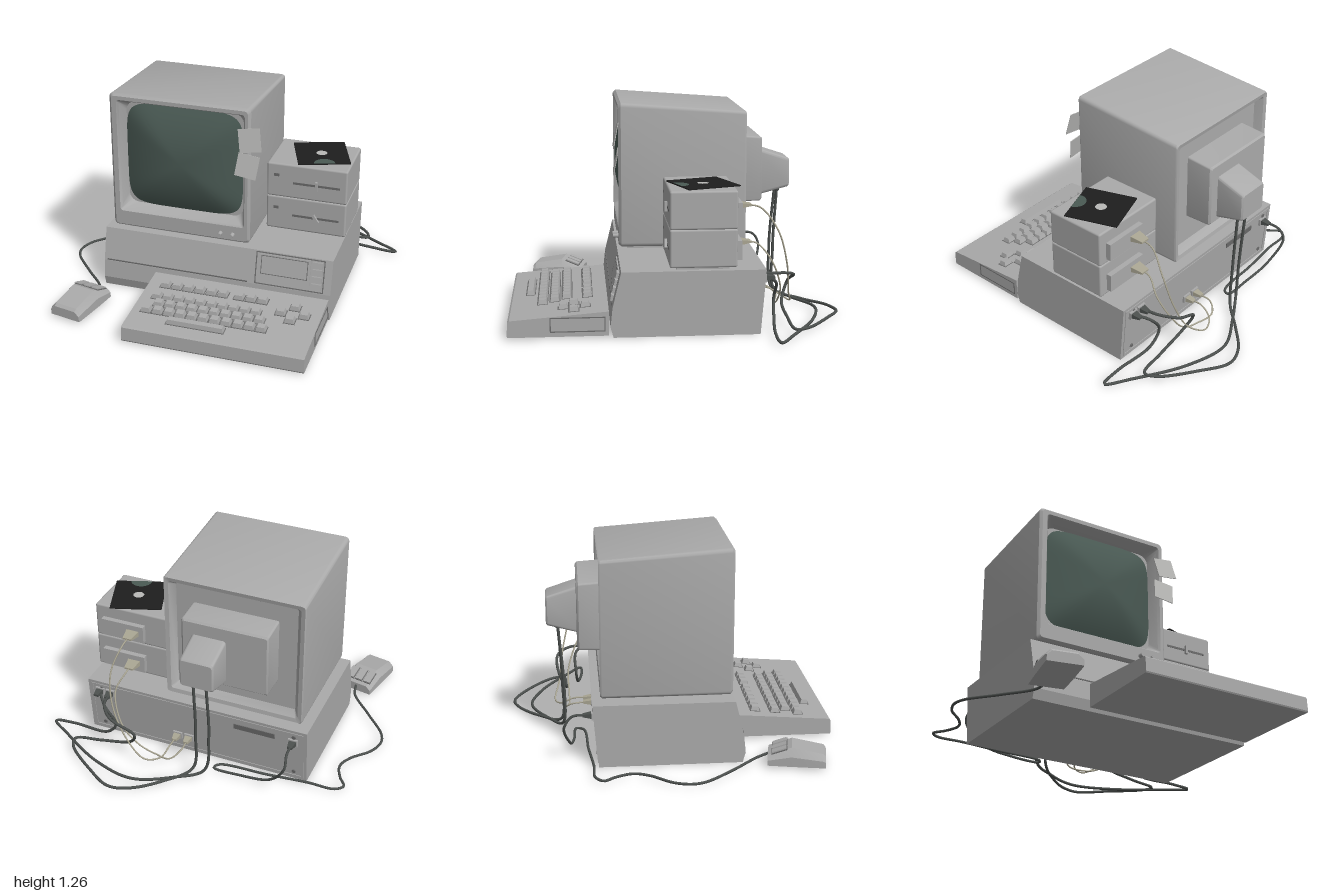
import * as THREE from 'three';
import { toCreasedNormals } from 'three/addons/utils/BufferGeometryUtils.js';
import { RoundedBoxGeometry } from 'three/addons/geometries/RoundedBoxGeometry.js';

const mat = (name, color, side = THREE.FrontSide) => {
  const m = new THREE.MeshStandardMaterial({ color, side });
  m.name = name;
  return m;
};

export function createModel() {
  const casing = mat('casing grey', 0xaaaaaa);
  const groove = mat('groove grey', 0x6c6c6c);
  const glass = mat('screen green', 0x4a5a54);
  const rubber = mat('cable grey', 0x4c504e);
  const ivory = mat('ivory cable', 0xa9a592);
  const black = mat('disk black', 0x1e1e1e);
  const paper = mat('note paper', 0xb9b9b7);
  const model = new THREE.Group();
  model.name = 'desktopComputer';

  const add = (parent, name, geo, m, x = 0, y = 0, z = 0) => {
    const mesh = new THREE.Mesh(geo, m);
    mesh.name = name;
    mesh.position.set(x, y, z);
    parent.add(mesh);
    return mesh;
  };
  const group = (name, x = 0, y = 0, z = 0, parent = model) => {
    const g = new THREE.Group();
    g.name = name;
    g.position.set(x, y, z);
    parent.add(g);
    return g;
  };
  const box = (w, h, d) => new THREE.BoxGeometry(w, h, d);
  // Rounded rectangle ring, counter-clockwise seen from +z
  const ring = (x0, x1, y0, y1, r, z) => {
    const pts = [];
    [[x1 - r, y1 - r], [x0 + r, y1 - r], [x0 + r, y0 + r], [x1 - r, y0 + r]].forEach(([cx, cy], q) => {
      for (let i = 0; i <= 4; i++) {
        const a = (q + i / 4) * Math.PI / 2;
        pts.push([cx + r * Math.cos(a), cy + r * Math.sin(a), z]);
      }
    });
    return pts;
  };
  // Skin a list of rings, with a fan cap on each end
  const loft = (rings) => {
    const v = [], n = rings[0].length;
    const mid = (r) => [0, 1, 2].map((k) => r.reduce((s, p) => s + p[k], 0) / n);
    const first = rings[0], last = rings[rings.length - 1];
    for (let i = 0; i < n; i++) {
      const j = (i + 1) % n;
      v.push(...first[j], ...first[i], ...mid(first), ...last[i], ...last[j], ...mid(last));
      for (let k = 0; k + 1 < rings.length; k++) {
        const a = rings[k], b = rings[k + 1];
        v.push(...a[i], ...a[j], ...b[j], ...a[i], ...b[j], ...b[i]);
      }
    }
    const g = new THREE.BufferGeometry();
    g.setAttribute('position', new THREE.Float32BufferAttribute(v, 3));
    return toCreasedNormals(g, 0.5);
  };
  // Side profile given as (z, y) points, stretched from x0 to x1
  const prism = (pts, x0, x1) => {
    const s = new THREE.Shape(pts.map((p) => new THREE.Vector2(...p)));
    return new THREE.ExtrudeGeometry(s, { depth: x1 - x0, bevelEnabled: false })
      .rotateY(-Math.PI / 2).translate(x1, 0, 0);
  };
  // Box whose top is drawn in
  const taper = (w, h, d, inset) => {
    const g = box(w, h, d), p = g.attributes.position;
    for (let i = 0; i < p.count; i++) if (p.getY(i) > 0) {
      p.setX(i, p.getX(i) - Math.sign(p.getX(i)) * inset);
      p.setZ(i, p.getZ(i) - Math.sign(p.getZ(i)) * inset);
    }
    g.computeVertexNormals();
    return g;
  };
  // Thin rectangular outline facing +z
  const frame = (w, h, t) => {
    const rect = (C, a, b) => new C([[-a, -b], [a, -b], [a, b], [-a, b]].map((p) => new THREE.Vector2(...p)));
    const s = rect(THREE.Shape, w / 2, h / 2);
    s.holes.push(rect(THREE.Path, w / 2 - t, h / 2 - t));
    return new THREE.ExtrudeGeometry(s, { depth: 0.004, bevelEnabled: false });
  };
  const cable = (name, m, r, pts) => {
    const c = new THREE.CatmullRomCurve3(pts.map((p) => new THREE.Vector3(...p)));
    add(model, name, new THREE.TubeGeometry(c, 160, r, 7), m);
  };

  // System case
  add(model, 'case', prism([[0.38, 0], [0.397, 0.06], [0.385, 0.17], [0.335, 0.375], [-0.48, 0.375], [-0.45, 0]], -0.68, 0.75), casing);
  add(model, 'frontGroove', box(0.9, 0.007, 0.006), groove, -0.21, 0.178, 0.384);
  const slope = group('caseFrontPanel', 0, 0.272, 0.36);
  slope.rotation.x = -0.24;
  add(slope, 'panelFrame', frame(0.42, 0.2, 0.006), groove, 0.495, 0, 0);
  add(slope, 'panelDoor', box(0.31, 0.165, 0.012), casing, 0.465, 0.008, 0.004);
  add(slope, 'doorOutline', frame(0.285, 0.115, 0.004), groove, 0.462, 0.025, 0.008);
  for (let i = 0; i < 4; i++) add(slope, 'panelButton', box(0.06, 0.034, 0.026), casing, 0.663, 0.07 - i * 0.044, 0.006);
  const rear = group('caseRearPanel', 0, 0.1875, -0.465);
  rear.rotation.set(-0.08, Math.PI, 0);
  add(rear, 'rearFrame', frame(1.39, 0.34, 0.012), casing, -0.035, 0, 0);
  add(rear, 'rearSlot', box(0.26, 0.035, 0.006), groove, 0.35, 0.11, 0.002);
  for (const x of [-0.66, 0.6]) for (const y of [-0.13, 0.14])
    add(rear, 'screw', new THREE.CylinderGeometry(0.012, 0.012, 0.008, 10).rotateX(Math.PI / 2), groove, x, y, 0.003);

  // Monitor shell, from rear recess round to front surround
  const monitor = group('monitor');
  add(monitor, 'monitorShell', loft([
    ring(-0.57, 0.175, 0.46, 1.145, 0.01, -0.385),
    ring(-0.6, 0.205, 0.43, 1.175, 0.015, -0.43),
    ring(-0.625, 0.23, 0.405, 1.2, 0.02, -0.435),
    ring(-0.63, 0.235, 0.397, 1.205, 0.02, -0.425),
    ring(-0.63, 0.235, 0.397, 1.259, 0.025, 0.31),
    ring(-0.615, 0.22, 0.41, 1.245, 0.02, 0.326),
    ring(-0.585, 0.202, 0.5, 1.222, 0.02, 0.326),
    ring(-0.575, 0.192, 0.51, 1.212, 0.02, 0.31),
    ring(-0.555, 0.172, 0.53, 1.19, 0.06, 0.24),
  ]), casing);
  add(monitor, 'rearHousing', loft([
    ring(-0.45, 0.06, 0.645, 1.02, 0.012, -0.556),
    ring(-0.458, 0.072, 0.635, 1.03, 0.012, -0.545),
    ring(-0.458, 0.072, 0.63, 1.042, 0.012, -0.38),
  ]), casing);
  add(monitor, 'tubeNeckCover', loft([
    ring(-0.195, -0.005, 0.715, 0.88, 0.015, -0.737),
    ring(-0.203, 0.003, 0.707, 0.888, 0.018, -0.727),
    ring(-0.205, 0.005, 0.66, 0.945, 0.018, -0.55),
  ]), casing);
  add(monitor, 'monitorFoot', box(0.72, 0.04, 0.55), casing, -0.197, 0.385, 0.0);
  // Domed glass
  const dome = [];
  for (let k = 10; k >= 1; k--) {
    const t = k / 10, r = [];
    for (let i = 0; i < 64; i++) {
      const a = i / 64 * Math.PI * 2, c = Math.cos(a), s = Math.sin(a), e = 2 / 6;
      r.push([-0.192 + 0.362 * t * Math.sign(c) * Math.abs(c) ** e,
        0.86 + 0.33 * t * Math.sign(s) * Math.abs(s) ** e, 0.246 + 0.088 * (1 - t * t)]);
    }
    dome.push(r);
  }
  add(monitor, 'screen', loft(dome), glass);
  for (const x of [0.055, 0.13])
    add(monitor, 'knob', new THREE.CylinderGeometry(0.012, 0.014, 0.035, 14).rotateX(Math.PI / 2), casing, x, 0.447, 0.34);
  [[0.236, 1.077, 0.15], [0.222, 0.914, -0.13]].forEach(([x, y, r]) =>
    add(monitor, 'stickyNote', box(0.13, 0.138, 0.004), paper, x, y, 0.342).rotation.set(-0.2, 0, r));

  // Stacked disk drives
  const drives = group('diskDrives');
  [[0.718, 0.3], [0.502, -0.3]].forEach(([y, turn]) => {
    add(drives, 'driveBox', new RoundedBoxGeometry(0.492, 0.218, 0.38, 2, 0.012), casing, 0.511, y, -0.125);
    add(drives, 'driveSlot', box(0.285, 0.014, 0.004), groove, 0.57, y - 0.008, 0.065);
    add(drives, 'driveLatch', box(0.016, 0.055, 0.022), casing, 0.572, y - 0.008, 0.07).rotation.z = y < 0.6 ? 0.6 : 0;
    add(drives, 'driveLight', box(0.032, 0.018, 0.006), groove, 0.325, y + 0.035, 0.065);
    add(drives, 'driveConnector', box(0.28, 0.11, 0.035), casing, 0.565, y - 0.025, -0.33);
    add(drives, 'drivePlug', taper(0.08, 0.08, 0.035, 0.012).rotateX(-Math.PI / 2), ivory, 0.495, y - 0.02, -0.385);
  });
  add(drives, 'driveFoot', box(0.4, 0.03, 0.3), casing, 0.511, 0.385, -0.125);

  // Loose floppy disk on top of the drives
  const disk = group('floppyDisk', 0.55, 0.832, -0.14);
  disk.rotation.y = 0.34;
  const sleeve = new THREE.Shape([[-0.157, -0.16], [0.157, -0.16], [0.157, 0.16], [-0.157, 0.16]].map((p) => new THREE.Vector2(...p)));
  sleeve.holes.push(new THREE.Path().absarc(0, 0, 0.034, 0, Math.PI * 2, true));
  add(disk, 'diskSleeve', new THREE.ExtrudeGeometry(sleeve, { depth: 0.006, bevelEnabled: false }).rotateX(-Math.PI / 2), black);
  add(disk, 'diskHub', new THREE.CylinderGeometry(0.034, 0.034, 0.005, 24), paper, 0, 0.0025, 0);
  add(disk, 'diskMedia', new THREE.CircleGeometry(0.064, 20, 0, Math.PI).rotateX(-Math.PI / 2), glass, 0, 0.008, 0.158);

  // Keyboard
  const keyboard = group('keyboard');
  add(keyboard, 'keyboardBody', prism([[0.405, 0.012], [0.97, 0.012], [0.974, 0.02], [0.97, 0.1], [0.96, 0.108], [0.405, 0.152]], -0.335, 0.745), casing);
  const sideFrame = add(keyboard, 'sideFrame', frame(0.31, 0.085, 0.006), groove, 0.744, 0.08, 0.58);
  sideFrame.rotation.set(0, Math.PI / 2, 0);
  const key = (x, z, w = 0.06, d = 0.056) => {
    const k = add(keyboard, 'key', taper(w, 0.03, d, 0.008), casing, x, 0.164 - 0.08 * (z - 0.405), z);
    k.rotation.x = 0.08;
    add(keyboard, 'keyGap', box(w + 0.008, 0.006, d + 0.008), groove, x, 0.151 - 0.08 * (z - 0.405), z).rotation.x = 0.08;
  };
  [[-0.225, 0.52, 6, 0.072], [0.235, 0.52, 3, 0.072], [-0.237, 0.64, 10, 0.0675], [-0.2, 0.71, 10, 0.068], [-0.25, 0.78, 11, 0.0695]]
    .forEach(([x, z, n, step]) => { for (let i = 0; i < n; i++) key(x + i * step, z); });
  [[0.58, 0.535], [0.51, 0.6], [0.65, 0.6], [0.58, 0.66]].forEach(([x, z]) => key(x, z));
  key(0.075, 0.855, 0.345, 0.05);

  // Mouse
  const mouse = group('mouse', -0.71, 0.015, 0.69);
  mouse.rotation.y = -0.2;
  const section = (z, w, h) => [[w, 0, z], [w, h * 0.55, z], [w - 0.03, h, z], [0.03 - w, h, z], [-w, h * 0.55, z], [-w, 0, z]];
  add(mouse, 'mouseBody', loft([section(-0.166, 0.1, 0.055), section(-0.03, 0.103, 0.107), section(0.15, 0.103, 0.075), section(0.166, 0.1, 0.06)]), casing);
  for (const x of [-0.06, 0, 0.06]) {
    add(mouse, 'buttonGap', box(0.052, 0.006, 0.094), groove, x, 0.082, -0.1).rotation.x = -0.365;
    add(mouse, 'mouseButton', box(0.044, 0.014, 0.086), casing, x, 0.085, -0.1).rotation.x = -0.365;
  }

  // Plugs on the case back
  [[0.6, 0.31, rubber], [0.67, 0.31, rubber], [-0.595, 0.29, rubber], [0.155, 0.11, ivory], [0.08, 0.11, ivory]].forEach(([x, y, m]) => {
    add(model, 'port', box(0.06, 0.045, 0.02), casing, x, y, -0.455 - 0.08 * y);
    add(model, 'plug', taper(0.045, 0.05, 0.03, 0.008).rotateX(-Math.PI / 2), m, x, y, -0.49 - 0.08 * y);
  });

  // Cables
  for (const x of [-0.13, -0.05]) add(model, 'neckPlug', new THREE.CylinderGeometry(0.018, 0.013, 0.05, 10), rubber, x, 0.7, -0.67);
  cable('videoCable', rubber, 0.009, [[-0.05, 0.7, -0.67], [-0.05, 0.3, -0.65], [-0.03, 0.05, -0.66], [0.1, 0.02, -0.8], [0.25, 0.02, -0.93],
    [0.38, 0.02, -0.965], [0.55, 0.03, -0.88], [0.75, 0.03, -0.72], [0.77, 0.03, -0.65], [0.6, 0.05, -0.63], [0.4, 0.1, -0.63],
    [0.35, 0.2, -0.67], [0.5, 0.28, -0.68], [0.58, 0.31, -0.6], [0.6, 0.31, -0.49]]);
  cable('powerCable', rubber, 0.009, [[-0.13, 0.7, -0.67], [-0.13, 0.3, -0.64], [-0.1, 0.05, -0.65], [0.05, 0.02, -0.74], [0.28, 0.02, -0.85],
    [0.55, 0.02, -0.79], [0.85, 0.02, -0.62], [0.98, 0.02, -0.53], [0.85, 0.03, -0.52], [0.6, 0.06, -0.55], [0.53, 0.15, -0.56],
    [0.6, 0.26, -0.56], [0.67, 0.31, -0.49]]);
  cable('mouseCable', rubber, 0.008, [[-0.675, 0.05, 0.53], [-0.69, 0.03, 0.46], [-0.83, 0.02, 0.3], [-0.97, 0.02, 0.13], [-0.99, 0.02, 0.05],
    [-0.96, 0.02, -0.05], [-0.86, 0.02, -0.17], [-0.825, 0.02, -0.26], [-0.86, 0.02, -0.36], [-0.905, 0.02, -0.43], [-0.86, 0.02, -0.475],
    [-0.7, 0.02, -0.48], [-0.45, 0.02, -0.505], [-0.15, 0.02, -0.53], [-0.13, 0.02, -0.57], [-0.3, 0.03, -0.585], [-0.5, 0.08, -0.61],
    [-0.605, 0.22, -0.645], [-0.6, 0.285, -0.6], [-0.595, 0.29, -0.5]]);
  cable('upperDriveCable', ivory, 0.005, [[0.495, 0.698, -0.38], [0.5, 0.68, -0.48], [0.53, 0.55, -0.58], [0.5, 0.35, -0.64],
    [0.4, 0.15, -0.67], [0.27, 0.06, -0.7], [0.18, 0.07, -0.66], [0.155, 0.11, -0.58], [0.155, 0.11, -0.49]]);
  cable('lowerDriveCable', ivory, 0.005, [[0.495, 0.482, -0.38], [0.5, 0.47, -0.46], [0.53, 0.38, -0.54], [0.46, 0.2, -0.61],
    [0.35, 0.08, -0.61], [0.24, 0.04, -0.61], [0.13, 0.06, -0.64], [0.08, 0.1, -0.59], [0.08, 0.11, -0.49]]);
  return model;
}
